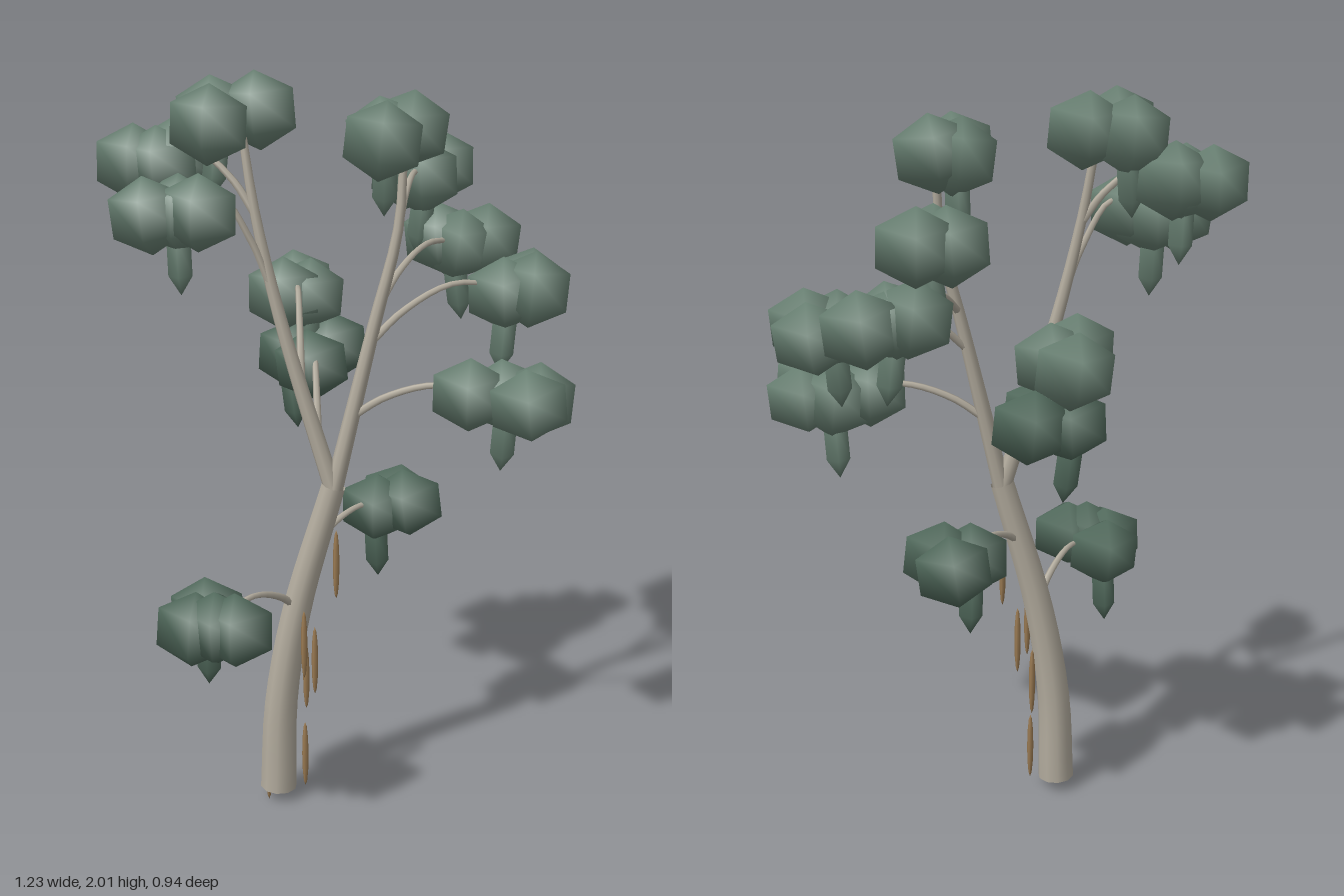
import * as THREE from 'three';

function paint(name, color, side = THREE.FrontSide) {
  const material = new THREE.MeshStandardMaterial({ color, side });
  material.name = name;
  return material;
}
const wood = paint('pale wood', 0xb4ad9f, THREE.DoubleSide);
const leaf = paint('grey green leaf', 0x698173);
const leafDark = paint('deep green leaf', 0x536c5e);
const bark = paint('peeling bark', 0x9a7a52);

const smoothPath = (...points) => new THREE.CatmullRomCurve3(points.map((p) => new THREE.Vector3(...p)));

// Tube along a path whose radius shrinks from r0 to r1
function limb(name, curve, r0, r1, sides) {
  const steps = 14;
  const geo = new THREE.TubeGeometry(curve, steps, 1, sides);
  const pos = geo.attributes.position;
  const p = new THREE.Vector3();
  for (let i = 0; i < pos.count; i++) {
    const t = Math.floor(i / (sides + 1)) / steps;
    const centre = curve.getPointAt(t);
    p.fromBufferAttribute(pos, i).sub(centre).multiplyScalar(r0 + (r1 - r0) * t).add(centre);
    pos.setXYZ(i, p.x, p.y, p.z);
  }
  const mesh = new THREE.Mesh(geo, wood);
  mesh.name = name;
  return mesh;
}

// Small seeded tilt so the clumps do not line up exactly
let seed = 7;
function wobble() {
  seed = (seed * 16807) % 2147483647;
  return (seed / 2147483647 - 0.5) * 0.28;
}

// Four-sided rounded clump, shared by leaves and hanging tufts
const clump = new THREE.SphereGeometry(1, 4, 3);
function blob(name, x, y, z, width, material) {
  const mesh = new THREE.Mesh(clump, material);
  mesh.name = name;
  mesh.position.set(x, y, z);
  mesh.scale.set(width, 0.1, width);
  mesh.rotation.set(wobble(), wobble() / 3, wobble());
  return mesh;
}

// Twig leaving a stem at t, leaf clumps at height y (each x, z),
// and a tuft hanging under the third clump
function spray(name, stem, t, y, spots, material = leaf) {
  const group = new THREE.Group();
  group.name = name;
  const end = new THREE.Vector3();
  spots.forEach(([x, z], i) => {
    const clumpY = y + 0.012 * (i % 2);
    group.add(blob('leafClump', x, clumpY, z, 0.108, material));
    end.add(new THREE.Vector3(x, clumpY, z).divideScalar(spots.length));
  });
  const [tuftX, tuftZ] = spots[2];
  group.add(blob('hangingTuft', tuftX, y - 0.112, tuftZ, 0.036, material));

  const start = stem.getPointAt(t);
  const arch = (along, rise) => {
    const p = start.clone().lerp(end, along);
    p.y = start.y + (end.y - start.y) * rise + 0.02;
    return p;
  };
  const path = new THREE.CatmullRomCurve3([start, arch(0.22, 0.55), arch(0.55, 1.1), end]);
  group.add(limb('twig', path, 0.011, 0.006, 6));
  return group;
}

// Thin spindle of loose bark
const spindle = new THREE.SphereGeometry(1, 6, 6);
function barkStrip(x, y, z) {
  const mesh = new THREE.Mesh(spindle, bark);
  mesh.name = 'barkStrip';
  mesh.position.set(x, y, z);
  mesh.scale.set(0.009, 0.1, 0.009);
  return mesh;
}

export function createModel() {
  const tree = new THREE.Group();
  tree.name = 'tree';

  // Leaning trunk that forks into two long branches
  const trunk = smoothPath([-0.155, 0.035, 0.075], [-0.145, 0.3, 0.075], [-0.1, 0.58, 0.075], [0, 0.945, 0.075]);
  const left = smoothPath([0, 0.93, 0.075], [-0.135, 1.38, 0.062], [-0.2, 1.66, 0.05], [-0.235, 1.88, 0.03]);
  const right = smoothPath([0, 0.93, 0.075], [0.1, 1.37, 0.05], [0.16, 1.63, 0.035], [0.17, 1.82, 0.02]);
  tree.add(limb('trunk', trunk, 0.051, 0.033, 10));
  tree.add(limb('leftBranch', left, 0.024, 0.01, 8));
  tree.add(limb('rightBranch', right, 0.024, 0.01, 8));

  // Sprays low on the trunk
  tree.add(spray('trunkFrontSpray', trunk, 0.6, 0.65, [[-0.33, 0.36], [-0.22, 0.38], [-0.31, 0.26], [-0.27, 0.37]], leafDark));
  tree.add(spray('trunkBackSpray', trunk, 0.8, 0.81, [[0.15, -0.2], [0.18, -0.13], [0.1, -0.12]], leafDark));

  // Sprays of the left branch, from the fork upward
  tree.add(spray('leftLowSpray', left, 0.14, 1.21, [[-0.08, -0.13], [-0.04, -0.27], [-0.14, -0.22]], leafDark));
  tree.add(spray('leftBackSpray', left, 0.29, 1.38, [[-0.14, -0.32], [-0.16, -0.18], [-0.1, -0.23]]));
  tree.add(spray('leftFrontSpray', left, 0.56, 1.665, [[-0.46, 0.12], [-0.33, 0.13], [-0.39, 0.08]]));
  tree.add(spray('leftOuterSpray', left, 0.77, 1.77, [[-0.52, -0.02], [-0.42, -0.04], [-0.45, 0]]));
  tree.add(spray('leftCrown', left, 1, 1.895, [[-0.3, 0.13], [-0.2, -0.02], [-0.31, -0.03]]));

  // Sprays of the right branch, from the fork upward
  tree.add(spray('rightLowSpray', right, 0.23, 1.2, [[0.52, 0.08], [0.35, 0.09], [0.44, 0.05], [0.5, 0.16]]));
  tree.add(spray('rightOuterSpray', right, 0.45, 1.435, [[0.49, -0.17], [0.5, -0.08], [0.43, -0.08]]));
  tree.add(spray('rightBackSpray', right, 0.57, 1.51, [[0.37, -0.36], [0.25, -0.32], [0.3, -0.29]]));
  tree.add(spray('rightUpperSpray', right, 0.8, 1.695, [[0.16, -0.32], [0.24, -0.37], [0.2, -0.28]]));
  tree.add(spray('rightCrown', right, 1, 1.85, [[0.12, 0.06], [0.18, -0.05], [0.12, -0.03]]));

  // Bark peeling from around the trunk
  tree.add(barkStrip(-0.08, 0.135, 0.07));
  tree.add(barkStrip(-0.047, 0.45, 0.115));
  tree.add(barkStrip(0.003, 0.7, 0.035));
  tree.add(barkStrip(-0.075, 0.5, 0.122));
  tree.add(barkStrip(-0.08, 0.36, 0.035));
  tree.add(barkStrip(-0.18, 0.1, 0.095));
  return tree;
}
